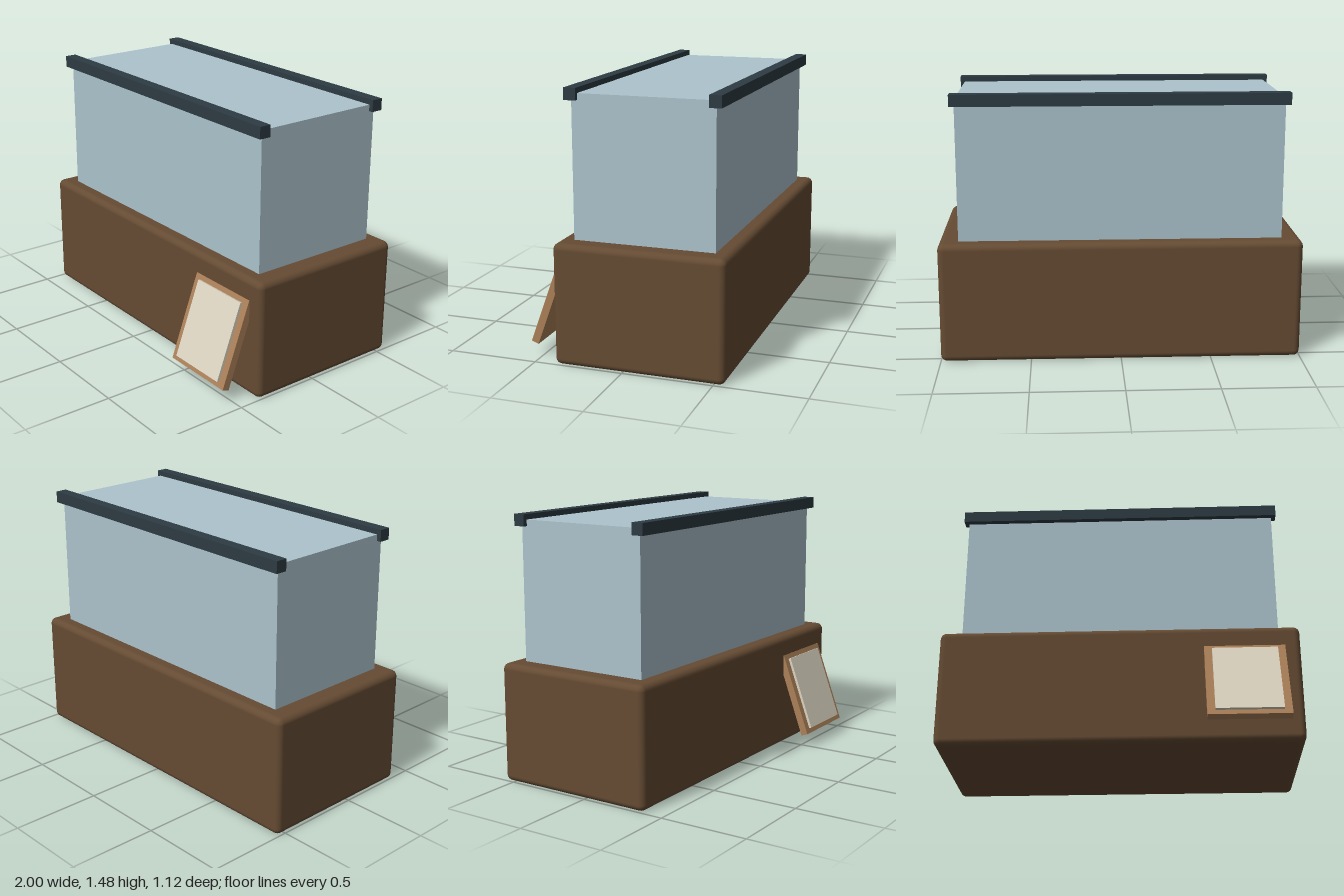
import * as THREE from 'three';
import { RoundedBoxGeometry } from 'three/addons/geometries/RoundedBoxGeometry.js';

const material = (name, color) => {
  const m = new THREE.MeshStandardMaterial({ color });
  m.name = name;
  return m;
};

function addPart(parent, name, geometry, mat, x, y, z) {
  const mesh = new THREE.Mesh(geometry, mat);
  mesh.name = name;
  mesh.position.set(x, y, z);
  parent.add(mesh);
  return mesh;
}

export function createModel() {
  const wood = material('dark wood', 0x654b33);
  const glass = material('pale glass', 0xacc3cc);
  const metal = material('slate metal', 0x2d3b43);
  const trim = material('light wood', 0xab8058);
  const paper = material('cream paper', 0xddd5c2);

  const model = new THREE.Group();
  model.name = 'displayCase';

  // Rounded wooden base
  addPart(model, 'base', new RoundedBoxGeometry(2, 0.67, 0.945, 4, 0.035), wood, 0, 0.335, -0.0875);

  // Glass case, sunk slightly into the base
  addPart(model, 'glassCase', new THREE.BoxGeometry(1.78, 0.79, 0.78), glass, 0, 1.055, -0.0875);

  // Rails along the front and back top edges
  for (const [name, z] of [['frontRail', 0.302], ['backRail', -0.478]]) {
    addPart(model, name, new THREE.BoxGeometry(1.83, 0.065, 0.066), metal, 0, 1.447, z);
  }

  // Framed label leaning against the base
  const label = new THREE.Group();
  label.name = 'label';
  label.position.set(0.692, 0.318, 0.472);
  label.rotation.x = -0.35;
  addPart(label, 'labelFrame', new THREE.BoxGeometry(0.445, 0.5, 0.042), trim, 0, 0, -0.021);
  addPart(label, 'labelCard', new THREE.BoxGeometry(0.36, 0.442, 0.025), paper, 0, 0, 0.0025);
  model.add(label);

  return model;
}
